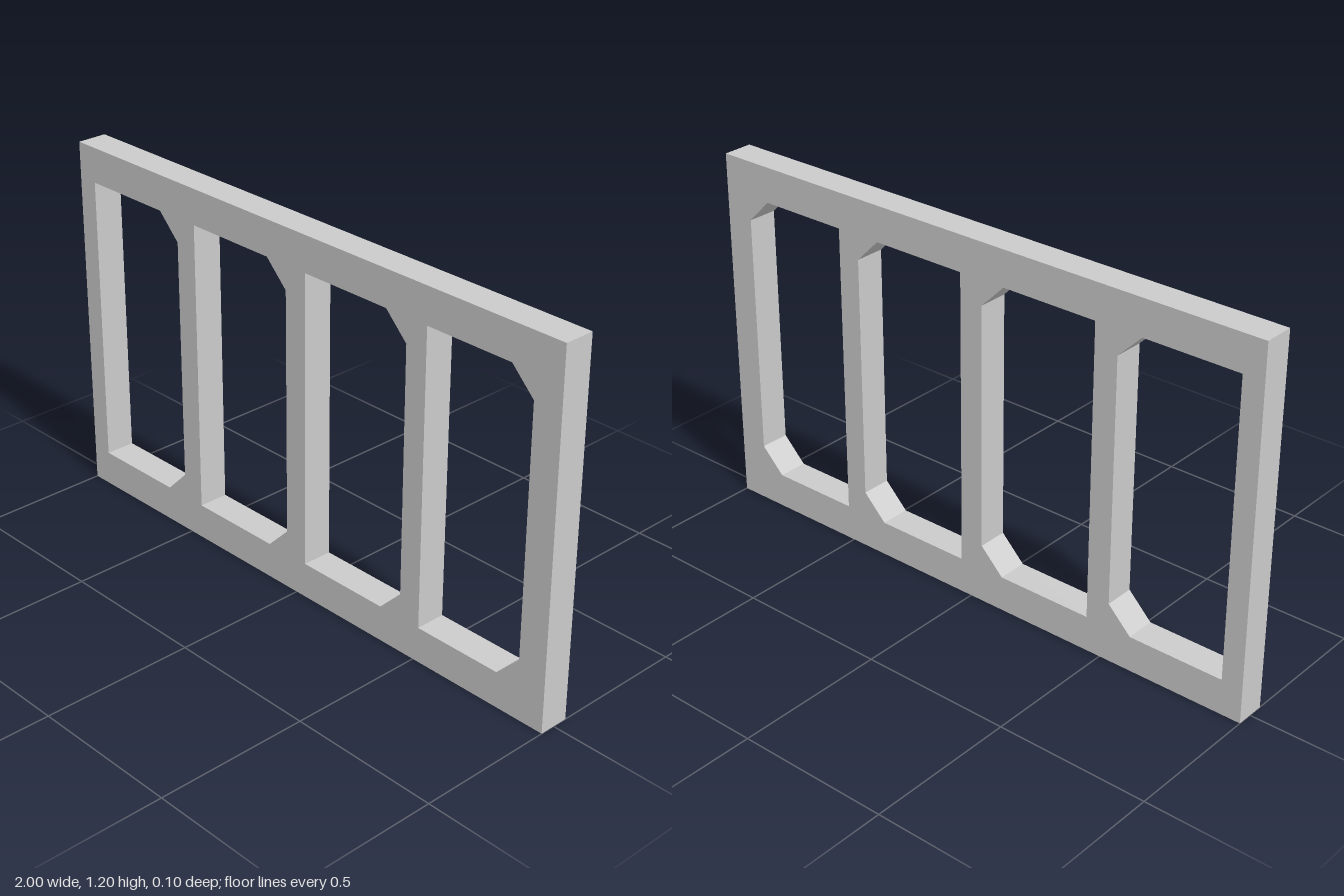
import * as THREE from 'three';

const WIDTH = 2, HEIGHT = 1.2, DEPTH = 0.1;
const BOTTOM = 0.117, TOP = 1.083, CHAMFER = 0.08;

// Left and right edge of each opening
const OPENINGS = [[-0.93, -0.528], [-0.449, -0.043], [0.038, 0.443], [0.519, 0.904]];

// Rectangular opening with both corners on its +x side cut off
function opening([x0, x1]) {
  return new THREE.Path([
    [x0, BOTTOM], [x0, TOP], [x1 - CHAMFER, TOP], [x1, TOP - CHAMFER],
    [x1, BOTTOM + CHAMFER], [x1 - CHAMFER, BOTTOM],
  ].map(([x, y]) => new THREE.Vector2(x, y)));
}

export function createModel() {
  const group = new THREE.Group();
  group.name = 'windowFrame';

  // Flat slab pierced by the row of openings
  const outline = new THREE.Shape([
    new THREE.Vector2(-WIDTH / 2, 0), new THREE.Vector2(WIDTH / 2, 0),
    new THREE.Vector2(WIDTH / 2, HEIGHT), new THREE.Vector2(-WIDTH / 2, HEIGHT),
  ]);
  outline.holes = OPENINGS.map(opening);
  const geometry = new THREE.ExtrudeGeometry(outline, { depth: DEPTH, bevelEnabled: false });
  geometry.translate(0, 0, -DEPTH / 2);

  const frame = new THREE.Mesh(
    geometry,
    new THREE.MeshStandardMaterial({ color: 0xcccccc, flatShading: true }),
  );
  frame.name = 'frame';
  group.add(frame);
  return group;
}
